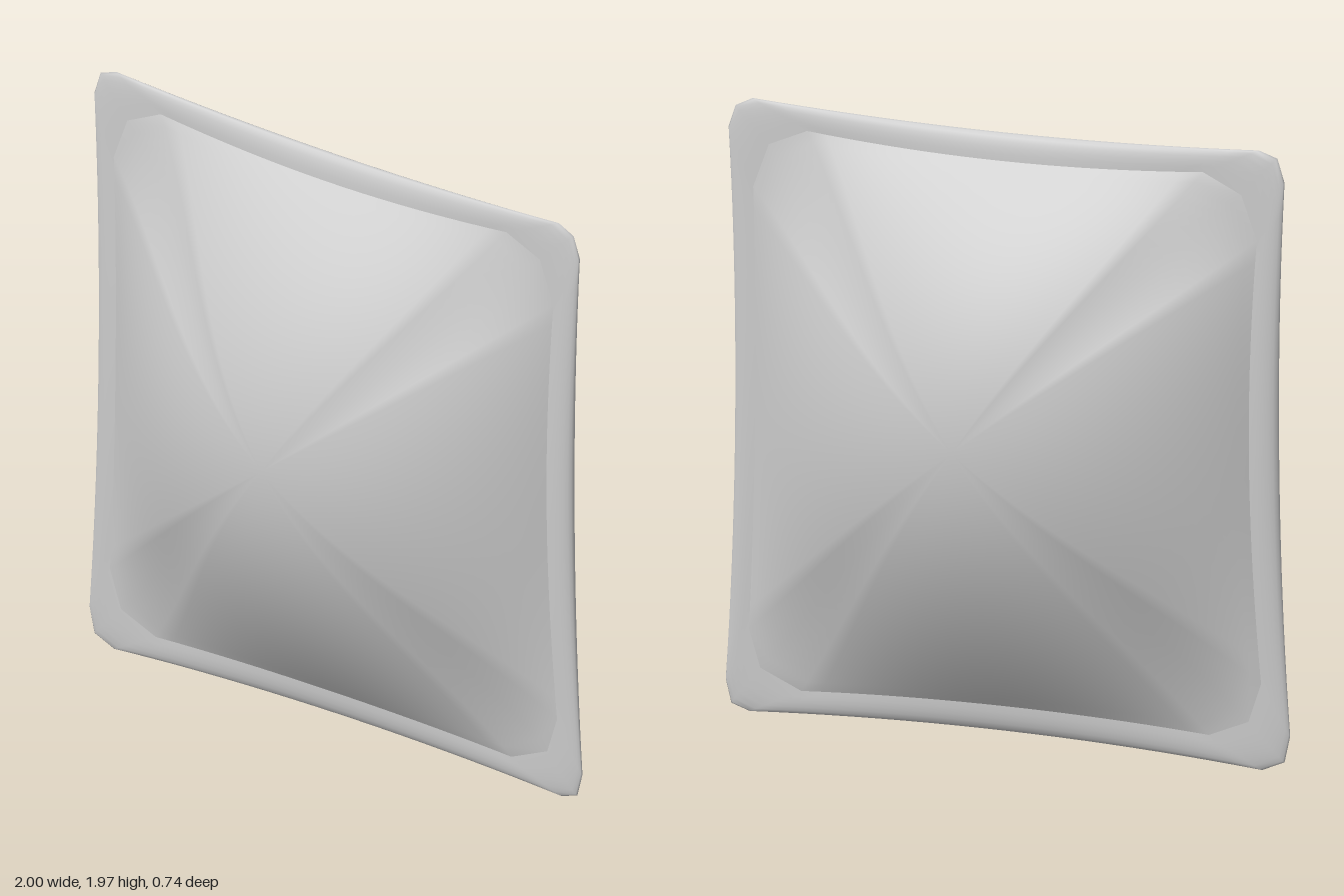
import * as THREE from 'three';
import { mergeVertices } from 'three/addons/utils/BufferGeometryUtils.js';

const SIDE_STEPS = 20, CENTER = [0, 0.99];

// Each side: start, middle, end, then the chamfer point of the next corner (counter-clockwise)
const HEM = [
  [[0.995, 0.11], [0.96, 1.0], [0.985, 1.87], [0.96, 1.94]],
  [[0.90, 1.968], [0, 1.945], [-0.89, 1.975], [-0.955, 1.955]],
  [[-0.98, 1.88], [-0.96, 1.0], [-1.0, 0.12], [-0.98, 0.035]],
  [[-0.90, 0.003], [0, 0.04], [0.91, 0.015], [0.975, 0.035]],
];
const SEAM = [
  [[0.905, 0.28], [0.875, 1.0], [0.89, 1.69], [0.835, 1.83]],
  [[0.70, 1.885], [0, 1.86], [-0.70, 1.89], [-0.835, 1.83]],
  [[-0.89, 1.69], [-0.87, 1.0], [-0.905, 0.28], [-0.86, 0.155]],
  [[-0.72, 0.10], [0, 0.125], [0.72, 0.10], [0.865, 0.16]],
];

// Bowed sides joined by chamfered corners
function outline(sides) {
  const pts = [];
  for (const [a, m, b, corner] of sides) {
    const ctrl = [0, 1].map((k) => 2 * m[k] - (a[k] + b[k]) / 2);
    const curve = new THREE.QuadraticBezierCurve(
      new THREE.Vector2(...a), new THREE.Vector2(...ctrl), new THREE.Vector2(...b));
    pts.push(...curve.getPoints(SIDE_STEPS), new THREE.Vector2(...corner));
  }
  return pts;
}

// Half thickness at the seam, fullest in the middle of each side
function seamThickness(j) {
  const t = Math.min((j % (SIDE_STEPS + 2)) / SIDE_STEPS, 1);
  return 0.015 + 0.015 * Math.sin(Math.PI * t);
}

// Skin closed rings of equal point count
function loft(rings, flip = false) {
  const n = rings[0].length, index = [];
  for (let r = 0; r < rings.length - 1; r++) {
    for (let j = 0; j < n; j++) {
      const a = r * n + j, b = r * n + (j + 1) % n, c = a + n, d = b + n;
      index.push(...(flip ? [a, d, c, a, b, d] : [a, c, d, a, d, b]));
    }
  }
  let geo = new THREE.BufferGeometry();
  geo.setAttribute('position', new THREE.Float32BufferAttribute(rings.flat(2), 3));
  geo.setIndex(index);
  geo = mergeVertices(geo, 1e-5);
  geo.computeVertexNormals();
  return geo;
}

export function createModel() {
  const group = new THREE.Group();
  group.name = 'cushion';
  const material = new THREE.MeshStandardMaterial({ color: 0xcccccc });
  const hem = outline(HEM), seam = outline(SEAM);
  const add = (name, geo) => {
    const mesh = new THREE.Mesh(geo, material);
    mesh.name = name;
    group.add(mesh);
  };

  // Stuffed panels: domes that flatten towards the corners
  const panel = (sign) => {
    const rings = [];
    for (let i = 0; i <= 28; i++) {
      const s = i / 28;
      rings.push(seam.map((p, j) => {
        const dx = p.x - CENTER[0], dy = p.y - CENTER[1];
        const m = Math.max(Math.abs(dx), Math.abs(dy));
        const u = s * dx / m, v = s * dy / m;
        const z = 0.34 * (1 - u * u) * (1 - v * v)
          + THREE.MathUtils.lerp(0.03, seamThickness(j), s * s);
        return [CENTER[0] + s * dx, CENTER[1] + s * dy, sign * z];
      }));
    }
    return loft(rings, sign < 0);
  };
  add('frontPanel', panel(1));
  add('backPanel', panel(-1));

  // Flat border with a rounded edge, from front seam round to back seam
  const border = [];
  for (let i = 0; i <= 12; i++) {
    const angle = Math.PI * i / 12;
    border.push(seam.map((p, j) => {
      const q = p.clone().lerp(hem[j], Math.sin(angle));
      return [q.x, q.y, Math.cos(angle) * seamThickness(j)];
    }));
  }
  add('border', loft(border));
  return group;
}
